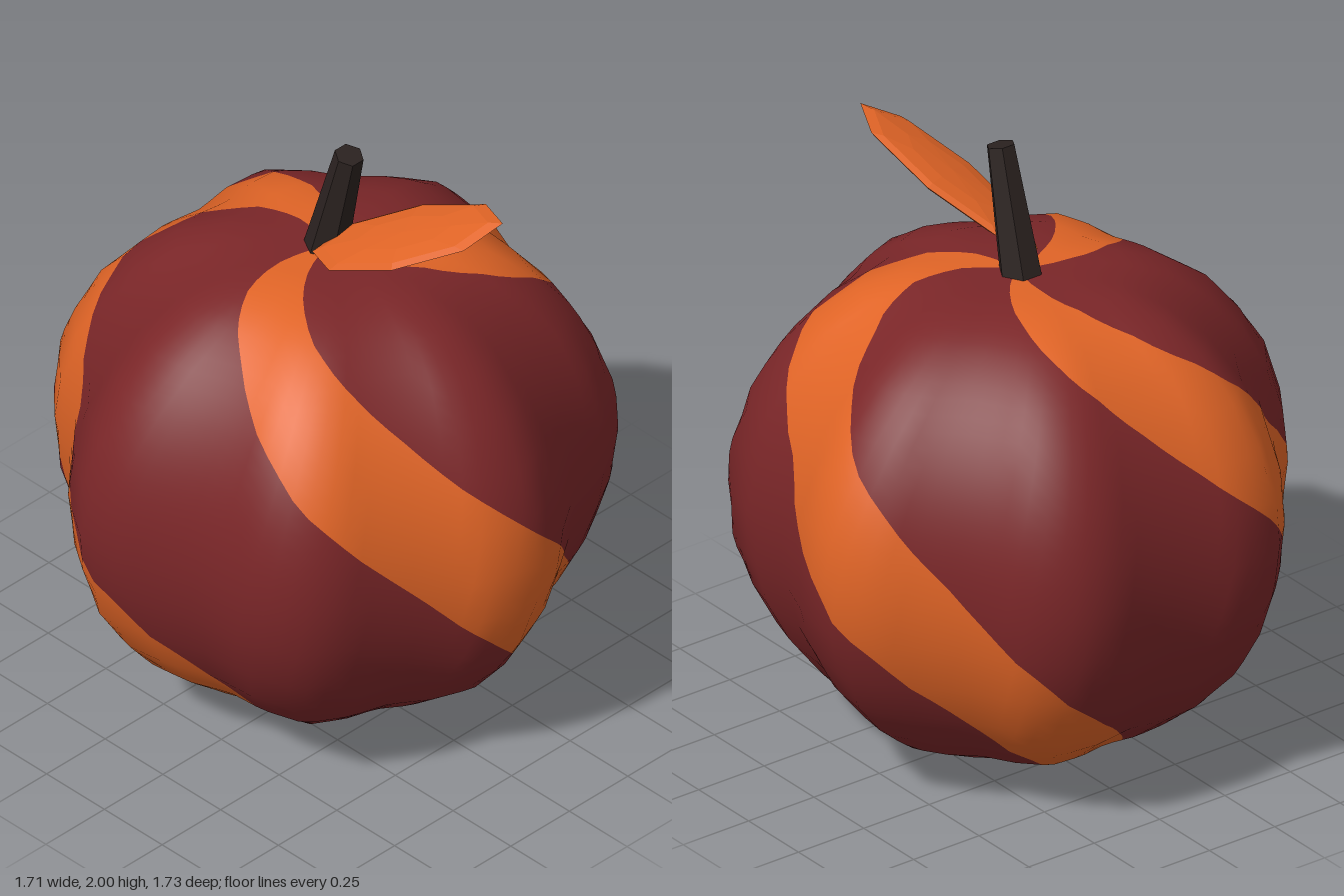
import * as THREE from 'three';

const RAD = Math.PI / 180;
const CX = -0.04, R = 0.845;

// Smooth seven-lobed fruit with a shallow dent at the top (angles in radians).
function surface(phi, theta) {
  const s = Math.sin(theta), c = Math.cos(theta);
  const r = (0.84 + 0.05 * Math.cos(7 * (phi - Math.PI / 2))) * s;
  const dent = c > 0 ? 0.091 * Math.exp(-s * s / 0.18) : 0;
  return new THREE.Vector3(CX + r * Math.sin(phi), R + R * c - dent, r * Math.cos(phi));
}

function surfaceNormal(phi, theta) {
  const t = Math.min(Math.max(theta, 0.02), Math.PI - 0.02), e = 0.005;
  if (t !== theta) return new THREE.Vector3(0, Math.sign(Math.cos(theta)), 0);
  const du = surface(phi + e, t).sub(surface(phi - e, t));
  const dv = surface(phi, t + e).sub(surface(phi, t - e));
  return dv.cross(du).normalize();
}

// Bilinear lookup on a coarse 28 x 16 cage, so the outline stays low-poly.
const SEG = 28, RINGS = 16;
function onCage(fn, phi, theta) {
  const dPhi = 2 * Math.PI / SEG, dTheta = Math.PI / RINGS;
  const i = Math.floor((phi - Math.PI / 2) / dPhi + 1e-6);
  const j = Math.min(Math.floor(theta / dTheta + 1e-6), RINGS - 1);
  const fu = (phi - Math.PI / 2) / dPhi - i, fv = theta / dTheta - j;
  const at = (a, b) => fn(Math.PI / 2 + a * dPhi, b * dTheta);
  const top = at(i, j).lerp(at(i + 1, j), fu);
  return top.lerp(at(i, j + 1).lerp(at(i + 1, j + 1), fu), fv);
}

// Columns follow the spiral, so each stripe is a whole run of columns.
function fruitGeometry() {
  const cols = 80, rows = 48, perTurn = 4.5;
  const pos = [], nor = [], skin = [], stripe = [];
  for (let j = 0; j <= rows; j++) {
    const theta = j / rows * Math.PI;
    for (let i = 0; i <= cols; i++) {
      const phi = theta + (-148 + i * perTurn) * RAD;
      pos.push(...onCage(surface, phi, theta).toArray());
      nor.push(...onCage(surfaceNormal, phi, theta).normalize().toArray());
    }
  }
  for (let j = 0; j < rows; j++) {
    for (let i = 0; i < cols; i++) {
      const a = j * (cols + 1) + i, b = a + 1, c = a + cols + 1, d = c + 1;
      // three stripes, each 36 degrees wide, 120 degrees apart
      const list = (i * perTurn) % 120 < 35.9 ? stripe : skin;
      if (j > 0) list.push(a, c, b);
      if (j < rows - 1) list.push(b, c, d);
    }
  }
  const geo = new THREE.BufferGeometry();
  geo.setAttribute('position', new THREE.Float32BufferAttribute(pos, 3));
  geo.setAttribute('normal', new THREE.Float32BufferAttribute(nor, 3));
  geo.setIndex([...skin, ...stripe]);
  geo.addGroup(0, skin.length, 0);
  geo.addGroup(skin.length, stripe.length, 1);
  return geo;
}

function material(name, color, flatShading = false) {
  const m = new THREE.MeshStandardMaterial({ color, flatShading });
  m.name = name;
  return m;
}

export function createModel() {
  const group = new THREE.Group();
  group.name = 'stripedFruit';
  const red = material('darkRed', 0x7a2628);
  const orange = material('orange', 0xe06426);
  const brown = material('darkBrown', 0x2b2220, true);

  const fruit = new THREE.Mesh(fruitGeometry(), [red, orange]);
  fruit.name = 'fruit';
  group.add(fruit);

  // Tapered, leaning six-sided stem
  const base = new THREE.Vector3(-0.06, 1.565, 0), tip = new THREE.Vector3(0.047, 1.992, 0);
  const axis = tip.clone().sub(base);
  const stem = new THREE.Mesh(new THREE.CylinderGeometry(0.046, 0.071, axis.length(), 6), brown);
  stem.name = 'stem';
  stem.position.copy(base).add(tip).multiplyScalar(0.5);
  stem.quaternion.setFromUnitVectors(new THREE.Vector3(0, 1, 0), axis.normalize());
  group.add(stem);

  // Leaf: a thin faceted ellipsoid, rising outwards
  const along = new THREE.Vector3(0.305, 0.16, -0.11).normalize();
  const normal = along.clone().cross(new THREE.Vector3(-0.064, 0.024, -0.124)).normalize();
  const across = along.clone().cross(normal);
  const leafGeo = new THREE.SphereGeometry(1, 8, 6).scale(0.358, 0.025, 0.142).toNonIndexed();
  leafGeo.computeVertexNormals();
  const leaf = new THREE.Mesh(leafGeo, orange);
  leaf.name = 'leaf';
  leaf.quaternion.setFromRotationMatrix(new THREE.Matrix4().makeBasis(along, normal, across));
  leaf.position.set(0.277, 1.79, -0.022);
  group.add(leaf);

  return group;
}
